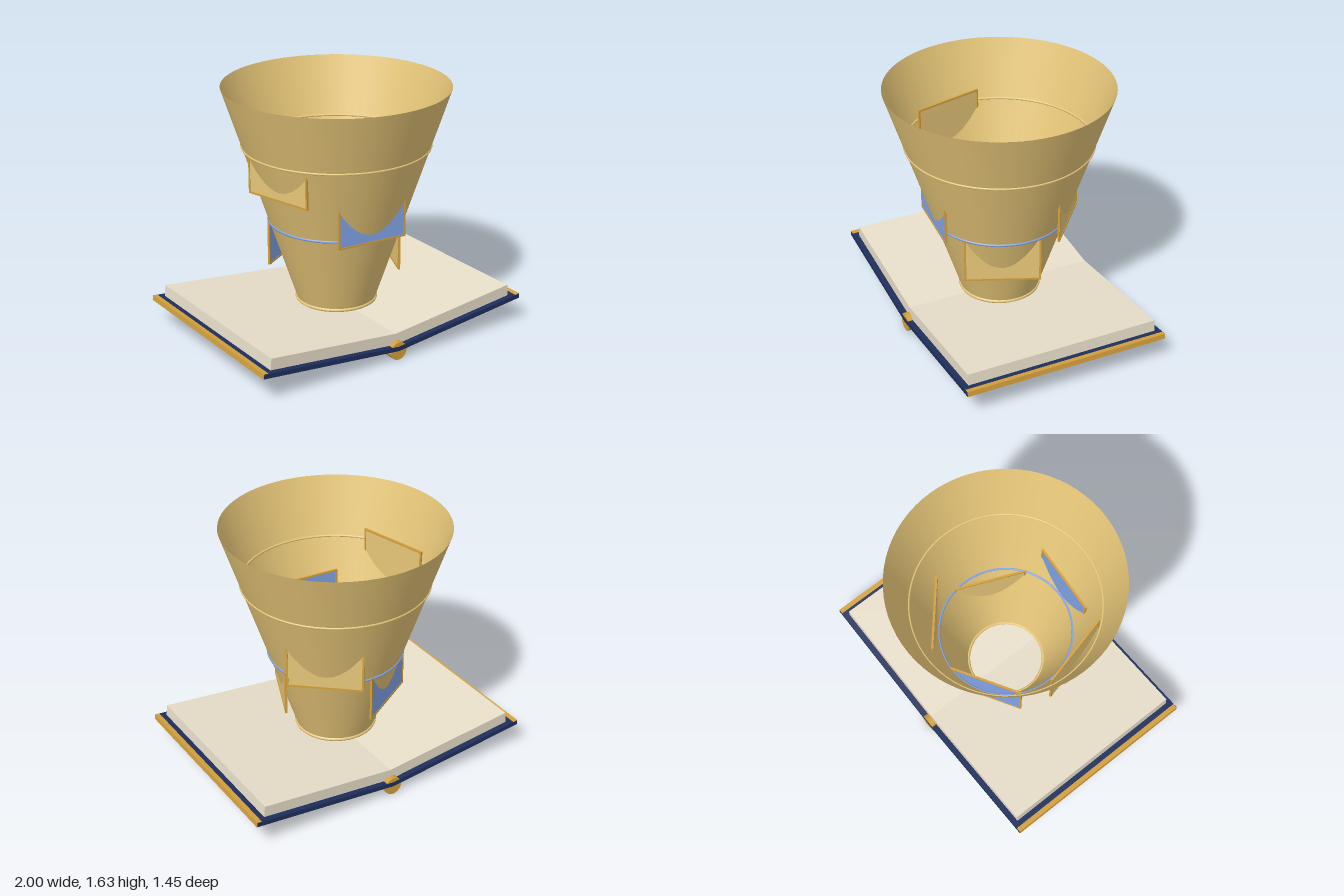
import * as THREE from 'three';

export function createModel() {
  const model = new THREE.Group();
  model.name = 'openBookWithVortex';

  const mat = (name, color, side = THREE.FrontSide) => {
    const m = new THREE.MeshStandardMaterial({ color, side });
    m.name = name;
    return m;
  };
  const navy = mat('navy cover', 0x1e2f5c);
  const gold = mat('gold trim', 0xd4a03c);
  const paper = mat('cream paper', 0xe8dfca);
  const amber = mat('pale amber', 0xe6c678, THREE.DoubleSide);
  const blue = mat('soft blue', 0x82a4e8);

  const add = (parent, name, geometry, material, x = 0, y = 0, z = 0) => {
    const mesh = new THREE.Mesh(geometry, material);
    mesh.name = name;
    mesh.position.set(x, y, z);
    parent.add(mesh);
    return mesh;
  };

  // Book halves, hinged along the spine and tilted upward
  for (const side of [1, -1]) {
    const half = new THREE.Group();
    half.name = side > 0 ? 'leftBookHalf' : 'rightBookHalf';
    half.position.y = 0.075;
    half.rotation.z = side * 0.105;
    model.add(half);
    add(half, 'cover', new THREE.BoxGeometry(1.0, 0.03, 1.364), navy, side * 0.5, 0, 0);
    add(half, 'coverEdgeTrim', new THREE.BoxGeometry(0.032, 0.034, 1.36), gold, side * 0.987, 0, 0);
    add(half, 'pageBlock', new THREE.BoxGeometry(0.934, 0.075, 1.29), paper, side * 0.467, 0.0525, 0);
  }

  // Spine rod
  const spine = add(model, 'spine', new THREE.CylinderGeometry(0.06, 0.06, 1.36, 32), gold, 0, 0.06, 0);
  spine.rotation.x = Math.PI / 2;

  // Open funnel rising from the pages
  const bottomY = 0.195, topY = 1.63, bottomR = 0.255, topR = 0.725;
  const radiusAt = (y) => bottomR + (topR - bottomR) * (y - bottomY) / (topY - bottomY);
  add(model, 'funnel', new THREE.CylinderGeometry(topR, bottomR, topY - bottomY, 72, 1, true),
    amber, 0, (bottomY + topY) / 2, 0);

  // Rings around the funnel
  for (const [name, y, tube, material] of [
    ['lowerRing', 0.2, 0.012, amber],
    ['middleRing', 0.745, 0.009, blue],
    ['upperRing', 1.245, 0.008, amber],
  ]) {
    const ring = add(model, name, new THREE.TorusGeometry(radiusAt(y), tube, 8, 72), material, 0, y, 0);
    ring.rotation.x = Math.PI / 2;
  }

  // Framed panels cutting into the funnel: centre x, centre z, direction x, direction z, bottom y
  const w = 0.485, h = 0.325, bar = 0.012;
  for (const [name, x, z, dx, dz, y, material] of [
    ['frontPanel', -0.04, 0.44, 0.48, 0.04, 0.72, blue],
    ['rightPanel', -0.52, 0.12, 0.12, 0.48, 1.0, amber],
    ['backRightPanel', -0.19, -0.315, 0.42, -0.25, 0.44, blue],
    ['backLeftPanel', 0.295, -0.34, 0.37, 0.32, 0.72, amber],
    ['leftPanel', 0.335, 0.135, -0.19, 0.45, 0.44, amber],
  ]) {
    const panel = new THREE.Group();
    panel.name = name;
    panel.position.set(x, y + h / 2, z);
    panel.rotation.y = Math.atan2(-dz, dx);
    model.add(panel);
    add(panel, 'pane', new THREE.BoxGeometry(w - bar, h - bar, 0.008), material);
    for (const s of [-1, 1]) {
      add(panel, 'frameRail', new THREE.BoxGeometry(w, bar, 0.014), gold, 0, s * (h - bar) / 2, 0);
      add(panel, 'frameStile', new THREE.BoxGeometry(bar, h - 2 * bar, 0.014), gold, s * (w - bar) / 2, 0, 0);
    }
  }

  return model;
}
